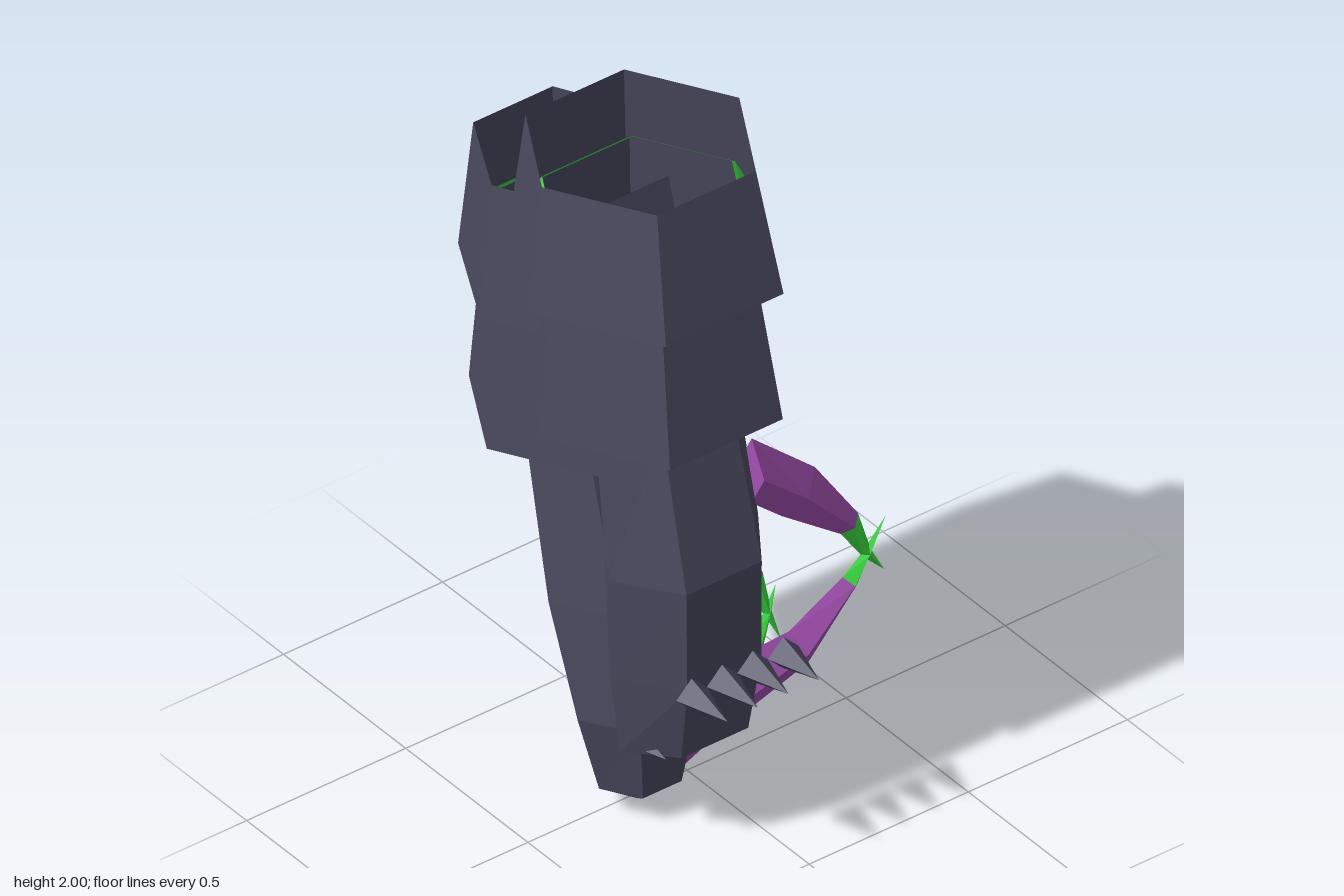
import * as THREE from 'three';

const paint = (color, name) => {
  const m = new THREE.MeshStandardMaterial({ color, flatShading: true, side: THREE.DoubleSide });
  m.name = name;
  return m;
};
const shell = paint(0x4a4a60, 'slate shell');
const purple = paint(0xa450b2, 'purple claw');
const green = paint(0x38dc3e, 'bright green');

function add(group, name, geometry, material) {
  const mesh = new THREE.Mesh(geometry, material);
  mesh.name = name;
  group.add(mesh);
  return mesh;
}

// Skin a list of rings (each an array of points) with flat quads
function loft(rings) {
  const points = [];
  for (let i = 0; i < rings.length - 1; i++) {
    const n = rings[i].length;
    for (let k = 0; k < n; k++) {
      const j = (k + 1) % n;
      const a = rings[i][k], b = rings[i][j], c = rings[i + 1][k], d = rings[i + 1][j];
      points.push(a, b, d, a, d, c);
    }
  }
  const g = new THREE.BufferGeometry().setFromPoints(points);
  g.computeVertexNormals();
  return g;
}

// Level hexagon with corners on the x axis; rz is the half depth across the flats
function hex(y, cx, cz, rx, rz) {
  return Array.from({ length: 6 }, (_, k) => {
    const a = k * Math.PI / 3;
    return new THREE.Vector3(cx + rx * Math.cos(a), y, cz + rz * Math.sin(a) / Math.sin(Math.PI / 3));
  });
}

// Flared sleeve with a green lining that rises 0.18 inside the lower rim
function addSleeve(limb, cx, depth, yTop, zTop, rTop, yBottom, zBottom, rBottom, rLining) {
  const rim = hex(yBottom, cx, zBottom, rBottom, rBottom * depth);
  add(limb, 'sleeve', loft([hex(yTop, cx, zTop, rTop, rTop * depth), rim]), shell);
  const lining = hex(yBottom + 0.18, cx, zBottom, rLining, rLining * depth);
  add(limb, 'sleeveLining', loft([rim, lining]), green);
}

// Six-sided arm, closed above and pointed below; rows are [y, centre z, half width, half depth]
function addArm(limb, cx, rows) {
  const [y, z] = rows[0];
  const rings = [[y, z, 0, 0], ...rows].map(([ry, rz, w, d]) => hex(ry, cx, rz, w, d));
  add(limb, 'arm', loft(rings), shell);
}

// Row of four-sided spikes pointing forward
function addSpikes(limb, x, step, y, z, radius, length) {
  for (let i = 0; i < 4; i++) {
    const spike = add(limb, 'spike', new THREE.ConeGeometry(radius, length, 4), shell);
    spike.rotation.x = Math.PI / 2;
    spike.position.set(x + i * step, y, z + length / 2);
  }
}

// Curved claw with a diamond section that tapers along its path to a green tip
function addClaw(limb, height, depth, path) {
  const taper = [1, 0.74, 0.34, 0.14, 0];
  const rings = path.map(([x, y, z], i) => {
    const p = path[Math.max(i - 1, 0)], q = path[Math.min(i + 1, path.length - 1)];
    const t = new THREE.Vector2(q[0] - p[0], q[1] - p[1]).normalize();
    const up = i ? new THREE.Vector3(-t.y, t.x, 0) : new THREE.Vector3(0, 1, 0); // root is cut upright
    up.multiplyScalar(height * taper[i]);
    const side = new THREE.Vector3(0, 0, depth * Math.pow(taper[i], 0.7));
    const centre = new THREE.Vector3(x, y, z);
    return [centre.clone().add(up), centre.clone().add(side), centre.clone().sub(up), centre.clone().sub(side)];
  });
  const root = Array(4).fill(new THREE.Vector3(...path[0]));
  add(limb, 'claw', loft([root, ...rings.slice(0, 3)]), purple);
  add(limb, 'clawTip', loft(rings.slice(2)), green);
}

function frontLimb() {
  const limb = new THREE.Group();
  limb.name = 'frontLimb';
  addSleeve(limb, -0.138, 0.87, 2, -0.01, 0.31, 1.65, 0.012, 0.37, 0.28);
  addSleeve(limb, -0.138, 0.87, 1.83, 0.005, 0.275, 1.27, 0.032, 0.355, 0.25);
  addArm(limb, -0.137, [
    [1.4, 0.06, 0.21, 0.13], [1.27, 0.083, 0.217, 0.138], [0.85, 0.16, 0.237, 0.17],
    [0.55, 0.168, 0.233, 0.163], [0.32, 0.177, 0.21, 0.115], [0.23, 0.172, 0, 0],
  ]);
  addSpikes(limb, -0.257, 0.096, 0.56, 0.353, 0.048, 0.147);
  const z = 0.163;
  addClaw(limb, 0.1, 0.052, [[0.078, 0.99, z], [0.225, 0.86, z], [0.385, 0.69, z], [0.44, 0.575, z], [0.495, 0.5, z]]);
  addClaw(limb, 0.093, 0.052, [[0.04, 0.34, z], [0.225, 0.38, z], [0.385, 0.51, z], [0.44, 0.575, z], [0.5, 0.665, z]]);
  return limb;
}

function backLimb() {
  const limb = new THREE.Group();
  limb.name = 'backLimb';
  addSleeve(limb, -0.184, 0.95, 1.87, -0.235, 0.25, 1.49, -0.22, 0.298, 0.23);
  addSleeve(limb, -0.165, 0.89, 1.67, -0.225, 0.245, 1.09, -0.205, 0.307, 0.21);
  addArm(limb, -0.17, [
    [1.22, -0.22, 0.18, 0.12], [1.09, -0.2, 0.185, 0.135], [0.64, -0.085, 0.2, 0.155],
    [0.32, 0.008, 0.18, 0.14], [0.09, 0.02, 0.122, 0.1], [0.005, 0.018, 0, 0],
  ]);
  addSpikes(limb, -0.285, 0.077, 0.33, 0.165, 0.04, 0.12);
  addClaw(limb, 0.085, 0.045, [[0.03, 0.79, -0.095], [0.135, 0.63, -0.075], [0.235, 0.47, -0.03], [0.27, 0.36, -0.022], [0.31, 0.26, -0.018]]);
  addClaw(limb, 0.093, 0.045, [[-0.045, 0.115, 0.01], [0.095, 0.147, 0], [0.225, 0.28, -0.015], [0.27, 0.36, -0.022], [0.3, 0.43, -0.028]]);
  return limb;
}

export function createModel() {
  const model = new THREE.Group();
  model.name = 'clawedLimbs';
  model.add(frontLimb(), backLimb());
  return model;
}
